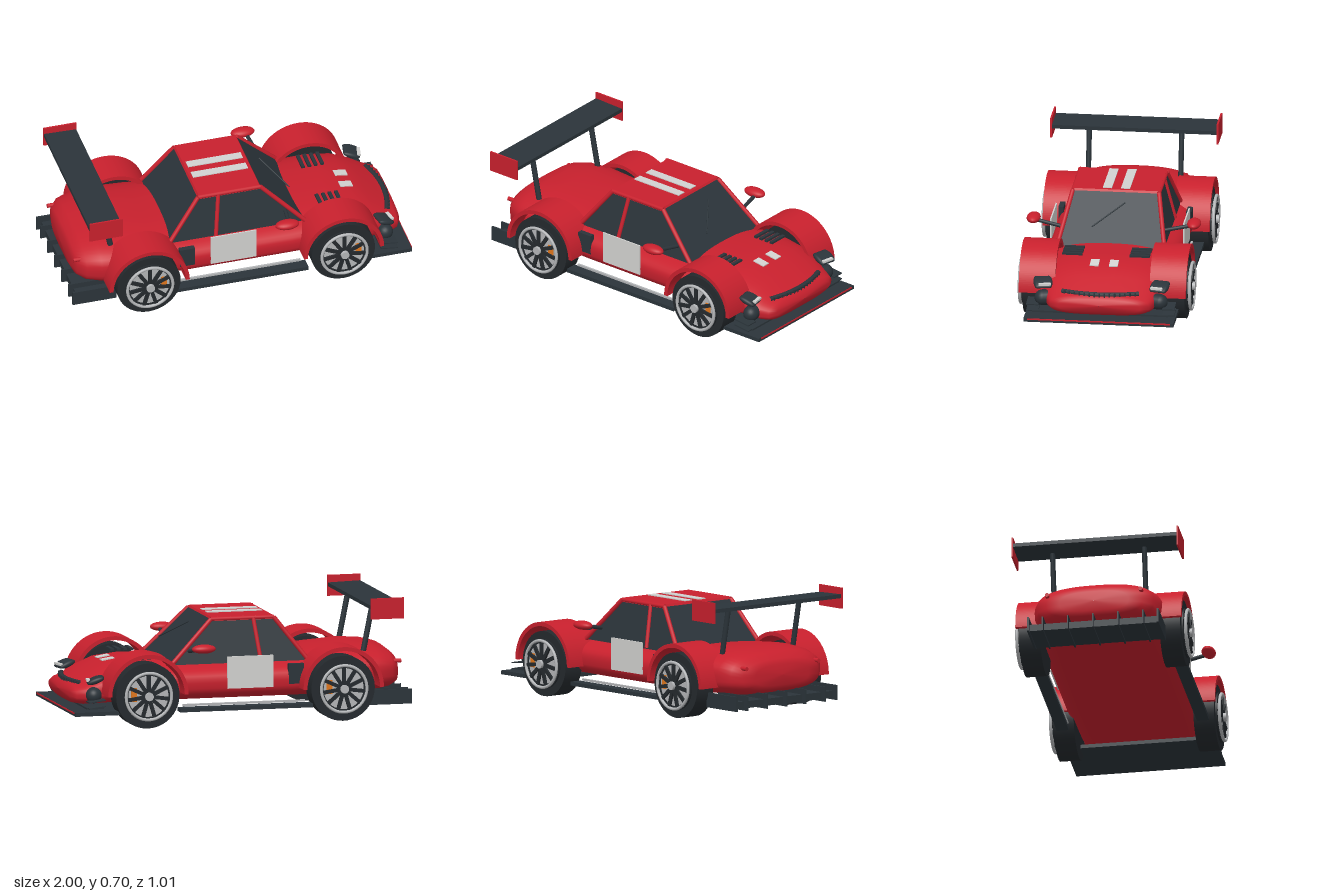
import * as THREE from 'three';

const mat = (name, color) => {
  const m = new THREE.MeshStandardMaterial({ color });
  m.name = name;
  return m;
};

export function createModel() {
  const red = mat('red paint', 0xc8202d);
  const dark = mat('dark trim', 0x2b343a);
  const rubber = mat('tyre rubber', 0x24292d);
  const silver = mat('silver', 0xb4b6b8);
  const white = mat('white', 0xd2d2d0);
  const orange = mat('orange', 0xe0761c);
  const car = new THREE.Group();
  car.name = 'raceCar';

  // Helpers
  const add = (name, geo, material, x = 0, y = 0, z = 0, parent = car) => {
    const m = new THREE.Mesh(geo, material);
    m.name = name;
    m.position.set(x, y, z);
    parent.add(m);
    return m;
  };
  const box = (name, material, w, h, d, x, y, z, parent) =>
    add(name, new THREE.BoxGeometry(w, h, d), material, x, y, z, parent);
  const rod = (name, material, a, b, r) => {
    const p = new THREE.Vector3(...a), q = new THREE.Vector3(...b);
    const m = add(name, new THREE.CylinderGeometry(r, r, p.distanceTo(q), 12), material);
    m.position.copy(p).add(q).multiplyScalar(0.5);
    m.quaternion.setFromUnitVectors(new THREE.Vector3(0, 1, 0), q.sub(p).normalize());
    return m;
  };
  // Box whose top and bottom rectangles differ: [xMin, xMax, halfZ, y]
  const frustum = (name, material, lo, hi) => {
    const g = new THREE.BoxGeometry(1, 1, 1), p = g.attributes.position;
    for (let i = 0; i < p.count; i++) {
      const [x0, x1, hz, y] = p.getY(i) > 0 ? hi : lo;
      p.setXYZ(i, p.getX(i) > 0 ? x1 : x0, y, p.getZ(i) > 0 ? hz : -hz);
    }
    g.computeVertexNormals();
    return add(name, g, material);
  };

  // Body: rounded cross-sections [x, halfWidth, bottom, top]
  const stations = [
    [-0.965, 0.002, 0.249, 0.251], [-0.96, 0.2, 0.19, 0.31], [-0.945, 0.28, 0.165, 0.34],
    [-0.9, 0.335, 0.145, 0.375], [-0.82, 0.365, 0.13, 0.395], [-0.7, 0.38, 0.125, 0.4],
    [-0.5, 0.38, 0.12, 0.385], [-0.3, 0.38, 0.12, 0.355], [0.3, 0.38, 0.12, 0.35],
    [0.58, 0.375, 0.12, 0.36], [0.72, 0.36, 0.118, 0.345], [0.82, 0.335, 0.113, 0.305],
    [0.9, 0.31, 0.112, 0.256], [0.95, 0.285, 0.122, 0.238], [0.975, 0.24, 0.145, 0.22],
    [0.985, 0.002, 0.184, 0.186]];
  const N = 48, pos = [], idx = [];
  stations.forEach(([x, hw, lo, hi], i) => {
    for (let j = 0; j < N; j++) {
      const a = (j / N) * Math.PI * 2, c = Math.cos(a), s = Math.sin(a);
      const e = 2 / (s < 0 ? 3.2 : 2.5);
      pos.push(x, (lo + hi) / 2 + ((hi - lo) / 2) * Math.sign(s) * Math.abs(s) ** e,
        hw * Math.sign(c) * Math.abs(c) ** e);
      if (i < stations.length - 1) {
        const k = (j + 1) % N, A = i * N, B = A + N;
        idx.push(A + j, B + j, A + k, B + j, B + k, A + k);
      }
    }
  });
  const bodyGeo = new THREE.BufferGeometry();
  bodyGeo.setAttribute('position', new THREE.Float32BufferAttribute(pos, 3));
  bodyGeo.setIndex(idx);
  bodyGeo.computeVertexNormals();
  add('body', bodyGeo, red);

  // Cabin
  frustum('windows', dark, [-0.405, 0.395, 0.305, 0.335], [-0.22, 0.15, 0.245, 0.585]);
  frustum('roof', red, [-0.228, 0.158, 0.254, 0.572], [-0.215, 0.145, 0.245, 0.595]);
  for (const s of [1, -1]) {
    rod('windscreenPillar', red, [0.4, 0.335, s * 0.308], [0.15, 0.583, s * 0.248], 0.013);
    rod('rearPillar', red, [-0.41, 0.335, s * 0.308], [-0.22, 0.583, s * 0.248], 0.013);
    rod('doorPillar', red, [-0.13, 0.34, s * 0.306], [-0.1, 0.583, s * 0.248], 0.012);
    rod('roofRail', red, [-0.22, 0.583, s * 0.246], [0.15, 0.583, s * 0.246], 0.012);
    box('roofStripe', white, 0.325, 0.006, 0.052, -0.037, 0.597, s * 0.052);
  }
  rod('wiper', dark, [0.23, 0.548, -0.062], [0.36, 0.442, 0.113], 0.004);

  // Wheels and arches
  const shape = new THREE.Shape();
  shape.absarc(0, 0, 0.237, 0, Math.PI, false);
  shape.absarc(0, 0, 0.214, Math.PI, 0, true);
  const archGeo = new THREE.ExtrudeGeometry(shape, { depth: 0.208, bevelEnabled: false, curveSegments: 36 });
  const disc = (r, d) => new THREE.CylinderGeometry(r, r, d, 40).rotateX(Math.PI / 2);
  for (const x of [-0.572, 0.58]) for (const s of [1, -1]) {
    add('wheelArch', archGeo, red, x, 0.19, s > 0 ? 0.271 : -0.479);
    const wheel = new THREE.Group();
    wheel.name = 'wheel';
    wheel.position.set(x, 0.188, 0);
    car.add(wheel);
    add('tyre', disc(0.187, 0.12), rubber, 0, 0, s * 0.405, wheel);
    add('rimBarrel', disc(0.142, 0.012), rubber, 0, 0, s * 0.469, wheel);
    add('brakeDisc', disc(0.118, 0.006), silver, 0, 0, s * 0.474, wheel);
    add('rim', new THREE.TorusGeometry(0.134, 0.009, 10, 48), silver, 0, 0, s * 0.488, wheel);
    add('hub', disc(0.024, 0.035), silver, 0, 0, s * 0.489, wheel);
    box('caliper', orange, 0.034, 0.08, 0.008, 0.085, 0.012, s * 0.477, wheel);
    for (let i = 0; i < 11; i++) {
      const a = (i / 11) * Math.PI * 2 + Math.PI / 2;
      const spoke = box('spoke', rubber, 0.112, 0.021, 0.012, 0.075 * Math.cos(a), 0.075 * Math.sin(a), s * 0.484, wheel);
      spoke.rotation.z = a;
    }
  }

  // Mirrored side details
  for (const s of [1, -1]) {
    box('doorPanel', white, 0.27, 0.185, 0.008, -0.047, 0.292, s * 0.381);
    box('sideIntake', dark, 0.09, 0.115, 0.03, -0.32, 0.27, s * 0.366);
    box('sideSkirt', dark, 0.78, 0.022, 0.07, -0.01, 0.093, s * 0.405);
    box('skirtStrip', silver, 0.72, 0.012, 0.012, -0.01, 0.114, s * 0.374);
    add('mirror', new THREE.SphereGeometry(1, 24, 16), red, 0.248, 0.445, s * 0.46).scale.set(0.07, 0.026, 0.04);
    rod('mirrorStalk', dark, [0.287, 0.41, s * 0.285], [0.265, 0.437, s * 0.44], 0.011);

    // Bonnet louvres and marks
    for (let i = 0; i < 4; i++)
      box('bonnetLouvre', dark, 0.02, 0.012, 0.115, 0.514 + i * 0.038, 0.371, s * 0.193);
    box('bonnetMark', white, 0.075, 0.006, 0.05, 0.71, 0.35, s * 0.055).rotation.z = -0.16;

    // Headlights, nose ducts and dive planes
    const lamp = add('headlightHousing', new THREE.CapsuleGeometry(0.017, 0.075, 6, 14).rotateX(Math.PI / 2), dark, 0.855, 0.272, s * 0.335);
    lamp.scale.x = 3;
    lamp.rotation.set(0, s * 0.2, -0.35);
    box('headlightLens', white, 0.02, 0.012, 0.07, 0.895, 0.273, s * 0.32).rotation.y = s * 0.2;
    const duct = add('noseDuct', new THREE.CapsuleGeometry(0.045, 0.09, 8, 20).rotateX(Math.PI / 2), dark, 0.853, 0.184, s * 0.293);
    duct.rotation.y = s * 0.25;
    for (const y of [0.125, 0.16])
      box('divePlane', dark, 0.1, 0.006, 0.07, 0.865, y, s * 0.39).rotation.z = -0.12;

    // Rear wing supports and end plates, tail lamps
    const strut = rod('wingStrut', dark, [-0.745, 0.37, s * 0.265], [-0.8, 0.645, s * 0.265], 0.015);
    strut.scale.set(1.1, 1, 1);
    box('wingEndPlate', red, 0.195, 0.12, 0.01, -0.83, 0.64, s * 0.477);
    rod('tailLamp', red, [-0.9, 0.305, s * 0.27], [-0.965, 0.305, s * 0.27], 0.012);
  }

  // Grille bar with teeth
  const grille = z => new THREE.Vector3(0.945 - 0.8 * z * z, 0.241, z);
  const curve = new THREE.CatmullRomCurve3([-0.22, -0.11, 0, 0.11, 0.22].map(grille));
  add('grilleBar', new THREE.TubeGeometry(curve, 24, 0.014, 10), dark);
  for (let i = -7; i <= 7; i++) {
    const p = grille(i * 0.029);
    box('grilleTooth', dark, 0.022, 0.034, 0.009, p.x + 0.006, p.y - 0.006, p.z);
  }

  // Front splitter
  box('splitter', dark, 0.37, 0.022, 0.86, 0.812, 0.09, 0);
  box('upperSplitter', dark, 0.1, 0.01, 0.78, 0.87, 0.117, 0);
  box('splitterEdge', red, 0.006, 0.008, 0.82, 0.998, 0.096, 0);

  // Rear diffuser
  box('diffuser', dark, 0.23, 0.04, 0.76, -0.855, 0.102, 0);
  for (const z of [-0.29, -0.145, 0, 0.145, 0.29])
    box('diffuserFin', dark, 0.26, 0.085, 0.008, -0.87, 0.112, z);
  for (const s of [1, -1])
    box('diffuserSide', dark, 0.26, 0.085, 0.012, -0.87, 0.115, s * 0.374);

  // Rear wing blade
  box('wingBlade', dark, 0.19, 0.022, 0.95, -0.83, 0.649, 0).rotation.z = -0.03;
  return car;
}
